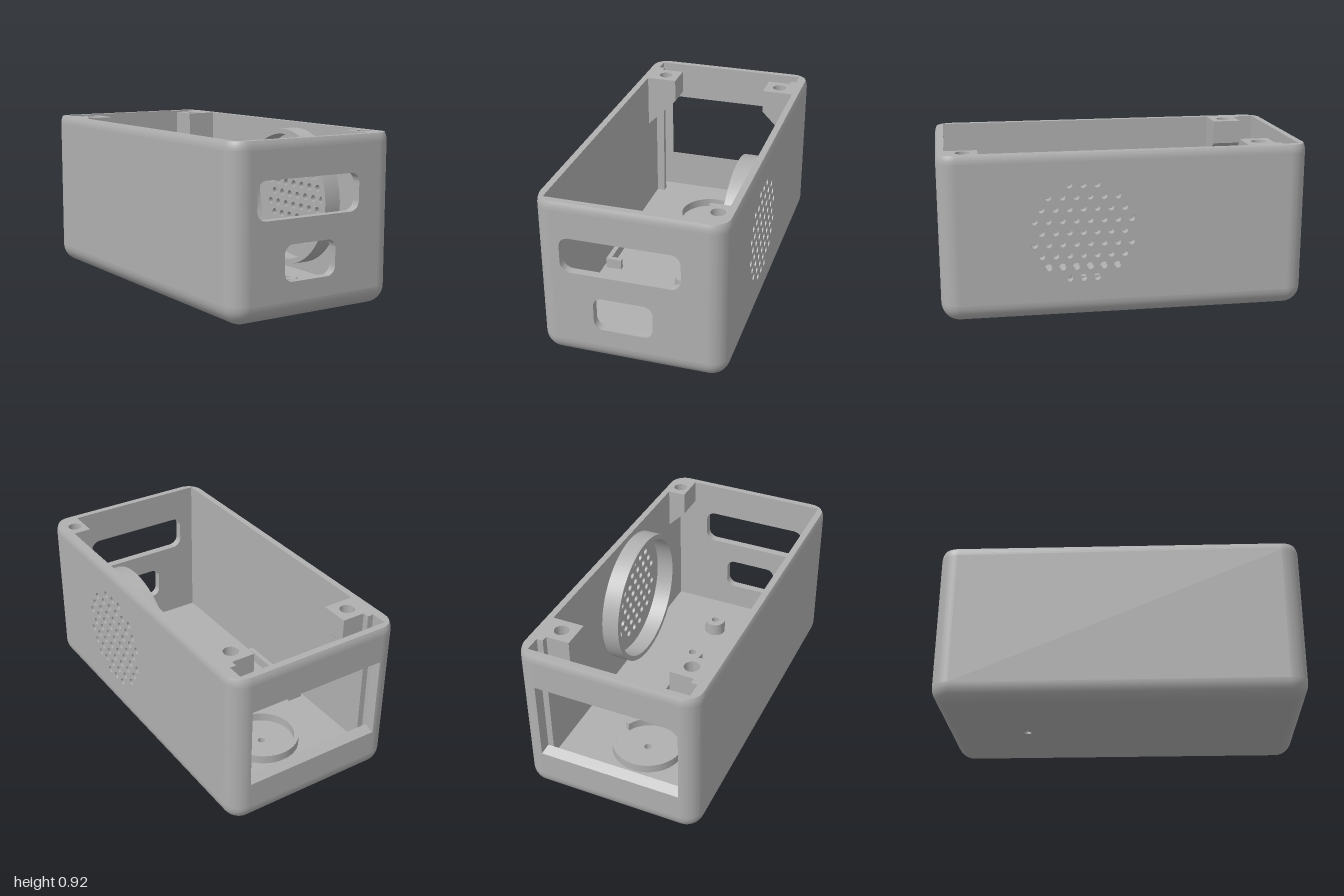
import * as THREE from 'three';
import { toCreasedNormals } from 'three/addons/utils/BufferGeometryUtils.js';

const HX = 0.505, HZ = 1, H = 0.915, R = 0.1, T = 0.047;
const IX = HX - T, IZ = HZ - T;
const LOW = 0.1, HIGH = 0.87; // flat wall band between the rounded edges

const V2 = (x, y) => new THREE.Vector2(x, y);
const poly = (pts) => new THREE.Shape(pts.map(([x, y]) => V2(x, y)));
const rect = (x0, y0, x1, y1) => poly([[x0, y0], [x1, y0], [x1, y1], [x0, y1]]);
const circle = (x, y, r) => new THREE.Path().absarc(x, y, r, 0, Math.PI * 2, true);
const disc = (x, y, r) => new THREE.Shape().absarc(x, y, r, 0, Math.PI * 2, false);

function roundSlot(x0, y0, x1, y1, r) {
  const p = new THREE.Path();
  p.absarc(x1 - r, y1 - r, r, 0, Math.PI / 2);
  p.absarc(x0 + r, y1 - r, r, Math.PI / 2, Math.PI);
  p.absarc(x0 + r, y0 + r, r, Math.PI, Math.PI * 1.5);
  p.absarc(x1 - r, y0 + r, r, Math.PI * 1.5, Math.PI * 2);
  p.closePath();
  return p;
}

const extrude = (shape, depth, curveSegments = 10) => toCreasedNormals(
  new THREE.ExtrudeGeometry(shape, { depth, bevelEnabled: false, curveSegments }), 0.6);

// Plan shapes use (x, -z) and rise from y by h
const plan = (shape, y, h, seg = 24) =>
  extrude(shape, h, seg).rotateX(-Math.PI / 2).translate(0, y, 0);

// Skin through closed rings of equal point count
function loft(rings) {
  const n = rings[0].length, pos = [], idx = [];
  rings.forEach((ring) => ring.forEach((p) => pos.push(...p)));
  for (let k = 0; k < rings.length - 1; k++) {
    for (let i = 0; i < n; i++) {
      const a = k * n + i, b = k * n + (i + 1) % n;
      idx.push(a, a + n, b, b, a + n, b + n);
    }
  }
  const g = new THREE.BufferGeometry();
  g.setAttribute('position', new THREE.Float32BufferAttribute(pos, 3));
  g.setIndex(idx);
  return toCreasedNormals(g, 0.6);
}

// Rounded rectangle ring lying at height y
function ring(hx, hz, r, y, n = 10) {
  const pts = [];
  [[1, 1], [-1, 1], [-1, -1], [1, -1]].forEach(([sx, sz], q) => {
    for (let i = 0; i <= n; i++) {
      const a = (q + i / n) * Math.PI / 2;
      pts.push([sx * (hx - r) + r * Math.cos(a), y, sz * (hz - r) + r * Math.sin(a)]);
    }
  });
  return pts;
}

export function createModel() {
  const model = new THREE.Group();
  const grey = new THREE.MeshStandardMaterial({ color: 0xb0b0b0 });
  grey.name = 'grey plastic';
  const add = (name, geo) => {
    const m = new THREE.Mesh(geo, grey);
    m.name = name;
    model.add(m);
    return m;
  };
  const block = (name, x0, x1, y0, y1, z0, z1) => add(name,
    new THREE.BoxGeometry(x1 - x0, y1 - y0, z1 - z0)
      .translate((x0 + x1) / 2, (y0 + y1) / 2, (z0 + z1) / 2));

  // Rounded base edge, turning in to the floor
  const base = [];
  for (let i = 0; i <= 10; i++) {
    const a = i / 10 * Math.PI / 2, inset = R * (1 - Math.sin(a));
    base.push(ring(HX - inset, HZ - inset, R - inset, R * (1 - Math.cos(a))));
  }
  base.push(ring(IX, IZ, 0, LOW), ring(IX, IZ, 0, T), ring(HX - R, HZ - R, 0, T));
  add('baseEdge', loft(base));

  // Floor with a small drain hole
  const floor = rect(R - HX, R - HZ, HX - R, HZ - R);
  floor.holes.push(circle(0, 0.53, 0.02));
  add('floor', plan(floor, 0, T));

  // Top rim, curving slightly inwards
  const rim = [];
  for (let i = 0; i <= 4; i++) {
    const d = (H - HIGH) * i / 4, inset = R - Math.sqrt(R * R - d * d);
    rim.push(ring(HX - inset, HZ - inset, R - inset, HIGH + d));
  }
  rim.push(ring(IX, IZ, 0, H), ring(IX, IZ, 0, HIGH));
  add('topRim', loft(rim));

  // Corner columns
  [[1, -1], [-1, -1], [-1, 1], [1, 1]].forEach(([sx, sz], k) => {
    const s = new THREE.Shape();
    s.moveTo(R, 0);
    s.absarc(0, 0, R, 0, Math.PI / 2);
    s.lineTo(0, R - T);
    s.lineTo(R - T, R - T);
    s.lineTo(R - T, 0);
    const c = add('cornerColumn', plan(s, LOW, HIGH - LOW, 10));
    c.rotation.y = k * Math.PI / 2;
    c.position.set(sx * (HX - R), 0, sz * (HZ - R));
  });

  // Front wall with two slots
  const front = rect(R - HX, LOW, HX - R, HIGH);
  front.holes.push(roundSlot(-0.37, 0.52, 0.27, 0.72, 0.055), roundSlot(-0.2, 0.2, 0.12, 0.39, 0.05));
  add('frontWall', extrude(front, T).translate(0, 0, IZ));

  // Back wall with a bevelled window
  const back = rect(R - HX, LOW, HX - R, HIGH);
  back.holes.push(rect(-0.4, 0.25, 0.4, 0.71));
  add('backWall', extrude(back, T).translate(0, 0, -HZ));
  const frame = (hx, y0, y1, z) => [[-hx, y0, z], [hx, y0, z], [hx, y1, z], [-hx, y1, z]];
  add('windowBevel', loft([frame(0.4, 0.25, 0.71, -HZ), frame(0.385, 0.28, 0.69, -IZ), frame(0.4, 0.25, 0.71, -IZ)]));

  // Side walls, the left one pierced by a hexagonal grille
  block('rightWall', -HX, -IX, LOW, HIGH, R - HZ, HZ - R);
  const side = rect(R - HZ, LOW, HZ - R, HIGH);
  [3, 6, 7, 8, 7, 8, 7, 6, 3].forEach((count, row) => {
    for (let i = 0; i < count; i++) {
      side.holes.push(circle(-0.24 + (i - (count - 1) / 2) * 0.0745, 0.487 + (4 - row) * 0.0643, 0.02));
    }
  });
  add('speakerWall', extrude(side, T, 6).rotateY(Math.PI / 2).translate(IX, 0, 0));

  // Speaker collar inside the grille wall
  const collar = disc(-0.23, 0.487, 0.395);
  collar.holes.push(circle(-0.23, 0.487, 0.365));
  add('speakerCollar', extrude(collar, IX - 0.355, 32).rotateY(Math.PI / 2).translate(0.355, 0, 0));

  // Screw posts, each on a sloping gusset; s is the side
  const post = (s, xIn, z0, z1, hx, hz, r) => {
    const yMid = 0.78, w = IX - xIn;
    const top = rect(Math.min(s * xIn, s * IX), -z1, Math.max(s * xIn, s * IX), -z0);
    top.holes.push(circle(s * hx, -hz, r));
    add('screwPost', plan(top, yMid, H - yMid));
    const wedge = poly([[s * xIn, yMid], [s * IX, yMid], [s * IX, yMid - w]]);
    add('postGusset', extrude(wedge, z1 - z0).translate(0, 0, z0));
  };
  post(1, 0.355, 0.78, IZ, 0.416, 0.86, 0.038);

  for (const s of [-1, 1]) {
    post(s, 0.28, -0.83, -0.67, 0.365, -0.75, 0.04);
    // Panel slot beside the window
    const span = (a, b) => [Math.min(s * a, s * b), Math.max(s * a, s * b)];
    block('slotLiner', ...span(0.445, IX), T, H, -IZ, -0.865);
    block('slotRail', ...span(0.41, IX), T, H, -0.865, -0.83);
  }

  // Open ring on the floor
  const gap = 0.44, open = new THREE.Shape();
  open.absarc(-0.005, 0.53, 0.205, gap, Math.PI * 2 - gap, false);
  open.absarc(-0.005, 0.53, 0.18, Math.PI * 2 - gap, gap, true);
  open.closePath();
  add('floorRing', plan(open, T, 0.05, 40));

  // Pair of facing battery brackets
  for (const s of [-1, 1]) {
    const X = (d) => -0.163 + s * d;
    add('bracket', plan(poly([
      [X(0.185), 0.315], [X(0.278), 0.315], [X(0.278), -0.2], [X(0.185), -0.2],
      [X(0.185), -0.172], [X(0.25), -0.172], [X(0.25), 0.288], [X(0.185), 0.288],
    ]), T, 0.06));
  }

  // Screw bosses
  for (const z of [0.275, 0.645]) {
    const boss = disc(0.075, -z, 0.062);
    boss.holes.push(circle(0.075, -z, 0.023));
    add('screwBoss', plan(boss, T, 0.08));
  }
  return model;
}
